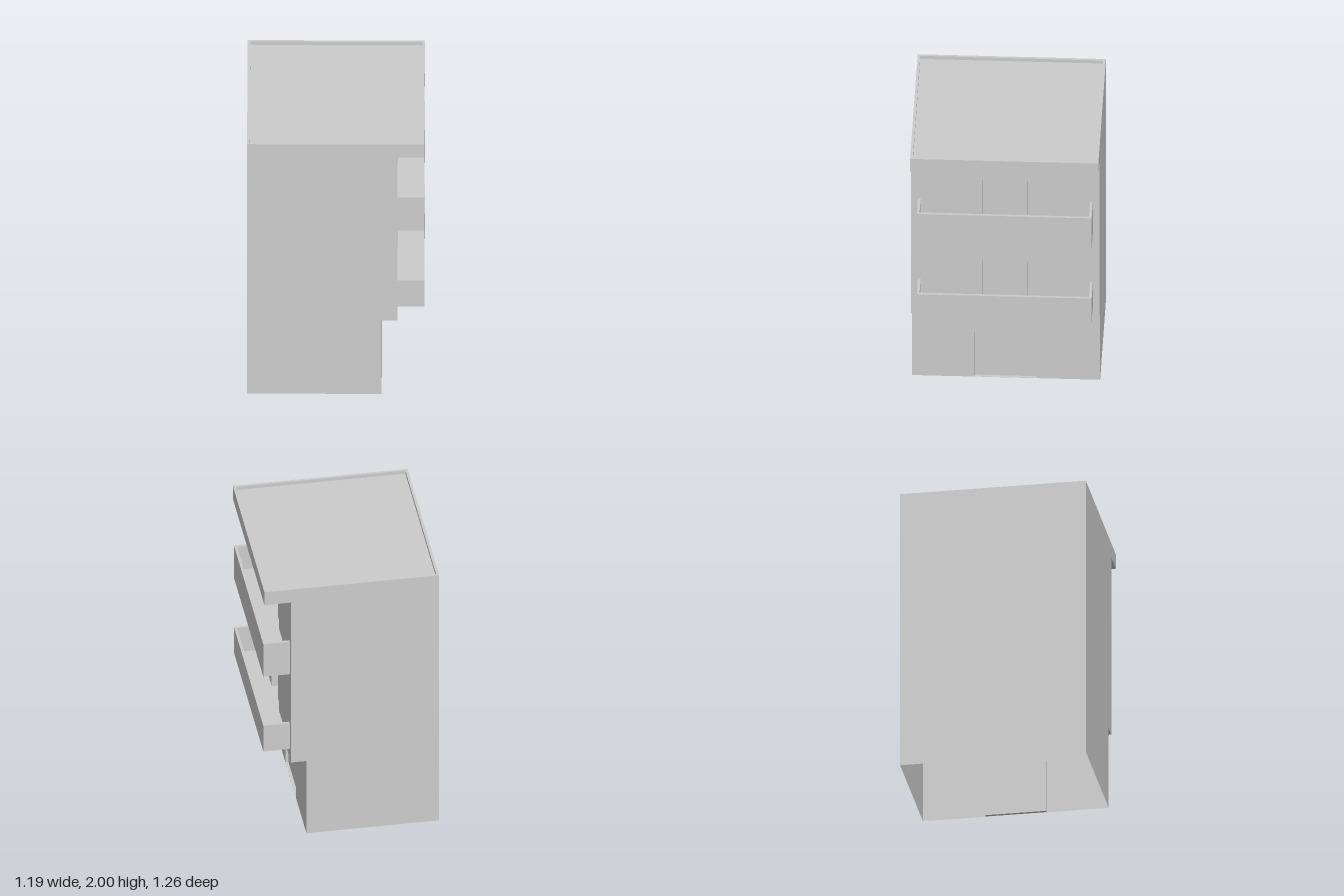
import * as THREE from 'three';

const BACK = -0.595, LOWER = 0.305, UPPER = 0.41, FRONT = 0.59; // x planes
const HALF = 0.63, LEDGE = 0.59, SOFFIT = 1.895, TOP = 2, ROOF = 1.975;

export function createModel() {
  const model = new THREE.Group();
  const mat = new THREE.MeshStandardMaterial({ color: 0xcccccc, side: THREE.DoubleSide });

  const add = (name, geo, parent = model) => {
    const mesh = new THREE.Mesh(geo, mat);
    mesh.name = name;
    parent.add(mesh);
    return mesh;
  };
  const box = (name, x0, x1, y0, y1, z0, z1, parent) =>
    add(name, new THREE.BoxGeometry(x1 - x0, y1 - y0, z1 - z0)
      .translate((x0 + x1) / 2, (y0 + y1) / 2, (z0 + z1) / 2), parent);
  const rect = (T, u0, v0, u1, v1) => {
    const p = new T();
    p.moveTo(u0, v0).lineTo(u1, v0).lineTo(u1, v1).lineTo(u0, v1).closePath();
    return p;
  };
  // upright panel facing +x, drawn in (z, y)
  const wallX = (name, x, z0, z1, y0, y1, holes = [], parent) => {
    const s = rect(THREE.Shape, -z1, y0, -z0, y1);
    holes.forEach(([a, b, c, d]) => s.holes.push(rect(THREE.Path, -b, c, -a, d)));
    return add(name, new THREE.ShapeGeometry(s).rotateY(Math.PI / 2).translate(x, 0, 0), parent);
  };
  // level panel, facing up or down
  const level = (name, x0, x1, z0, z1, y, up) =>
    add(name, new THREE.PlaneGeometry(x1 - x0, z1 - z0)
      .rotateX(up ? -Math.PI / 2 : Math.PI / 2)
      .translate((x0 + x1) / 2, y, (z0 + z1) / 2));

  // stepped side walls
  const profile = new THREE.Shape([
    [BACK, 0], [LOWER, 0], [LOWER, LEDGE], [UPPER, LEDGE], [UPPER, SOFFIT],
    [FRONT, SOFFIT], [FRONT, TOP], [BACK, TOP],
  ].map(([x, y]) => new THREE.Vector2(x, y)));
  add('leftSideWall', new THREE.ShapeGeometry(profile).translate(0, 0, HALF));
  add('rightSideWall', new THREE.ShapeGeometry(profile).rotateY(Math.PI).scale(-1, 1, 1)
    .translate(0, 0, -HALF)).geometry.index.array.reverse();
  model.getObjectByName('rightSideWall').geometry.computeVertexNormals();

  // plain rear wall and the underside is left open
  add('rearWall', new THREE.PlaneGeometry(2 * HALF, TOP).rotateY(-Math.PI / 2)
    .translate(BACK, TOP / 2, 0));

  // stepped facade with door openings [z0, z1, y0, y1]
  const entry = [-0.205, 0.21, 0.002, 0.37];
  const doors = [0.67, 1.34].map((y) => [-0.15, 0.155, y, y + 0.37]);
  wallX('lowerFacade', LOWER, -HALF, HALF, 0, LEDGE, [entry]);
  wallX('upperFacade', UPPER, -HALF, HALF, LEDGE, SOFFIT, doors);
  level('ledgeUnderside', LOWER, UPPER, -HALF, HALF, LEDGE, false);
  level('roofSoffit', UPPER, FRONT, -HALF, HALF, SOFFIT, false);
  wallX('roofFascia', FRONT, -HALF, HALF, SOFFIT, TOP);

  // reveal around an opening
  const reveal = (x, depth, [z0, z1, y0, y1], parent) => {
    const s = rect(THREE.Shape, -z1, y0, -z0, y1);
    const pts = [...s.getPoints()].slice(0, 4);
    const pos = [], idx = [];
    for (let i = 0; i < 4; i++) {
      const a = pts[i], b = pts[(i + 1) % 4], k = i * 4;
      pos.push(x, a.y, -a.x, x, b.y, -b.x, x - depth, b.y, -b.x, x - depth, a.y, -a.x);
      idx.push(k, k + 1, k + 2, k, k + 2, k + 3);
    }
    const g = new THREE.BufferGeometry();
    g.setAttribute('position', new THREE.Float32BufferAttribute(pos, 3));
    g.setIndex(idx);
    g.computeVertexNormals();
    add('doorReveal', g, parent);
  };

  // ground floor entrance
  const entrance = new THREE.Group();
  entrance.name = 'entrance';
  model.add(entrance);
  reveal(LOWER, 0.02, entry, entrance);
  wallX('entranceDoor', LOWER - 0.02, ...entry, [], entrance);

  // sliding balcony doors, one leaf in front of the other
  doors.forEach((d) => {
    const door = new THREE.Group();
    door.name = 'slidingDoor';
    model.add(door);
    reveal(UPPER, 0.045, d, door);
    wallX('rearLeaf', UPPER - 0.045, ...d, [], door);
    box('frontLeaf', UPPER - 0.044, UPPER - 0.02, d[2], d[3] - 0.008, -0.145, 0, door);
  });

  // balconies: floor slab inside a three-sided parapet
  const W = 0.585, T = 0.018;
  [[0.67, 0.67, 0.88], [1.28, 1.34, 1.545]].forEach(([bottom, floor, top]) => {
    const balcony = new THREE.Group();
    balcony.name = 'balcony';
    model.add(balcony);
    const outline = new THREE.Shape([
      [UPPER, -W], [FRONT, -W], [FRONT, W], [UPPER, W],
      [UPPER, W - T], [FRONT - T, W - T], [FRONT - T, T - W], [UPPER, T - W],
    ].map(([x, z]) => new THREE.Vector2(x, z)));
    add('parapet', new THREE.ExtrudeGeometry(outline, { depth: top - bottom, bevelEnabled: false })
      .rotateX(-Math.PI / 2).translate(0, bottom, 0), balcony);
    box('balconyFloor', UPPER, FRONT - T, floor, floor + 0.015, T - W, W - T, balcony);
  });

  // flat roof sunk inside a low rim
  const rim = rect(THREE.Shape, BACK, -HALF, FRONT, HALF);
  rim.holes.push(rect(THREE.Path, BACK + T, T - HALF, FRONT - T, HALF - T));
  add('roofRim', new THREE.ExtrudeGeometry(rim, { depth: TOP - ROOF, bevelEnabled: false })
    .rotateX(-Math.PI / 2).translate(0, ROOF, 0));
  level('roof', BACK + T, FRONT - T, T - HALF, HALF - T, ROOF, true);

  return model;
}
